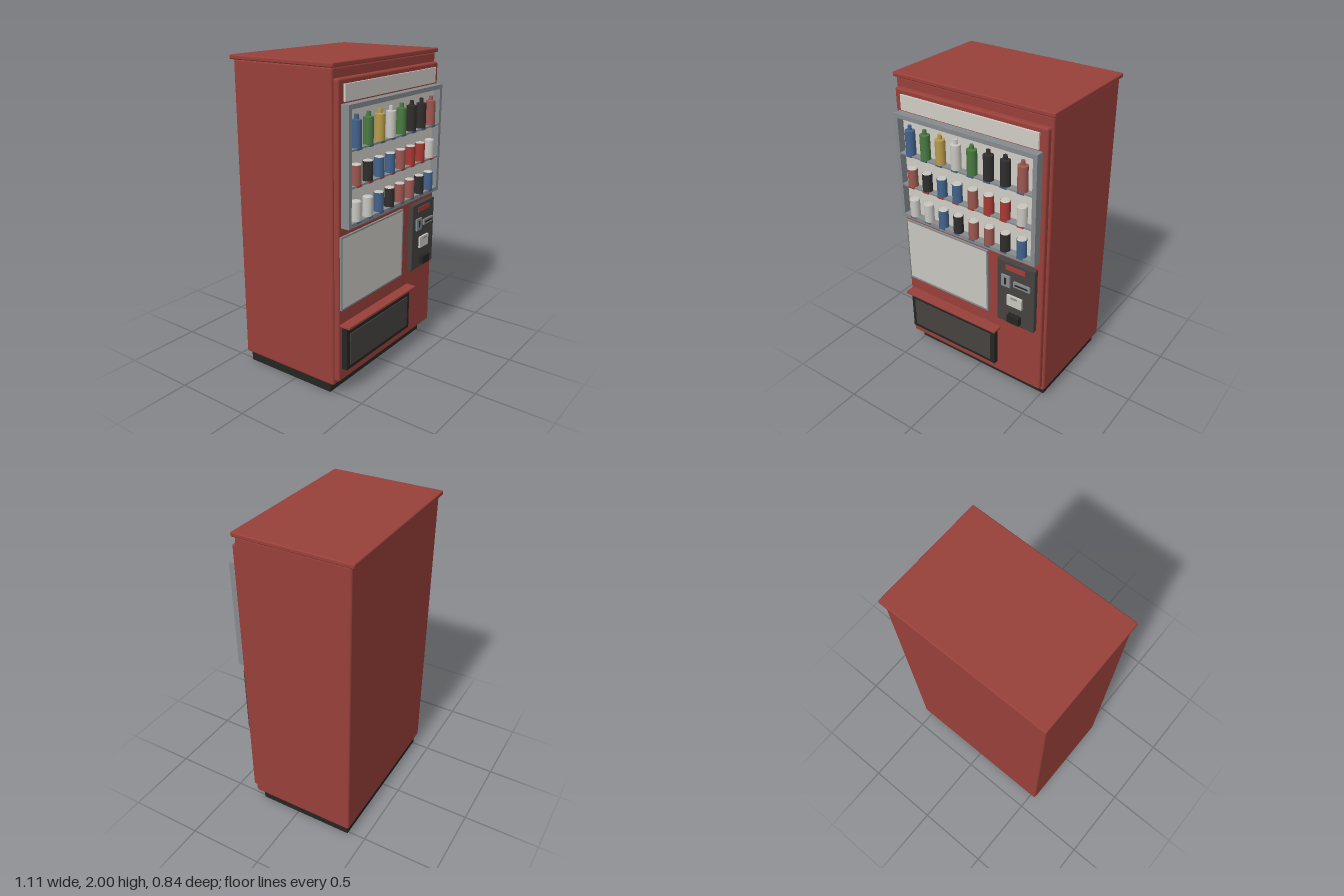
import * as THREE from 'three';
import { RoundedBoxGeometry } from 'three/addons/geometries/RoundedBoxGeometry.js';

const mats = {};
const mat = (color) => (mats[color] ??= new THREE.MeshStandardMaterial({ color }));
const RED = 0x98403a, DARK = 0x252422, CHARCOAL = 0x45423f, STEEL = 0x868b8e, PALE = 0xd0cdc6;
const BLUE = 0x44638c, GREEN = 0x4a7a42, GOLD = 0xb89a48, BLACK = 0x302e2d, RUST = 0x9c5850, SCARLET = 0xa83a34, WHITE = 0xc8c6c0;

export function createModel() {
  const model = new THREE.Group();

  const add = (parent, name, geometry, color, x = 0, y = 0, z = 0) => {
    const mesh = new THREE.Mesh(geometry, mat(color));
    mesh.name = name;
    mesh.position.set(x, y, z);
    parent.add(mesh);
    return mesh;
  };
  // Box given by its limits, with optional rounded edges
  const box = (parent, name, color, [x0, x1], [y0, y1], [z0, z1], r = 0) => {
    const size = [x1 - x0, y1 - y0, z1 - z0];
    const geometry = r ? new RoundedBoxGeometry(...size, 2, r) : new THREE.BoxGeometry(...size);
    return add(parent, name, geometry, color, (x0 + x1) / 2, (y0 + y1) / 2, (z0 + z1) / 2);
  };
  // Rectangular frame with an open middle
  const frame = (parent, name, color, [x0, x1], [y0, y1], [z0, z1], t) => {
    const rect = (Type, a, b, c, d) => new Type([[a, b], [c, b], [c, d], [a, d]].map((p) => new THREE.Vector2(...p)));
    const shape = rect(THREE.Shape, x0, y0, x1, y1);
    shape.holes.push(rect(THREE.Path, x0 + t, y0 + t, x1 - t, y1 - t));
    return add(parent, name, new THREE.ExtrudeGeometry(shape, { depth: z1 - z0, bevelEnabled: false }), color, 0, 0, z0);
  };
  const group = (name) => {
    const g = new THREE.Group();
    g.name = name;
    model.add(g);
    return g;
  };

  // Cabinet
  const cabinet = group('cabinet');
  box(cabinet, 'plinth', DARK, [-0.515, 0.515], [0, 0.08], [-0.38, 0.275]);
  box(cabinet, 'body', RED, [-0.543, 0.543], [0.07, 1.975], [-0.4, 0.32], 0.014);
  box(cabinet, 'roof', RED, [-0.555, 0.555], [1.972, 2], [-0.42, 0.335], 0.008);
  box(cabinet, 'door', RED, [-0.528, 0.528], [0.1, 1.915], [0.3, 0.352], 0.012);
  box(cabinet, 'signPanel', PALE, [-0.48, 0.48], [1.79, 1.885], [0.34, 0.365]);

  // Display window
  const display = group('display');
  box(display, 'displayBack', PALE, [-0.48, 0.48], [1.09, 1.77], [0.34, 0.357]);
  frame(display, 'displayFrame', STEEL, [-0.503, 0.5], [1.08, 1.78], [0.345, 0.405], 0.027);

  // Shelves with bottles on the top row and cans below
  const rows = [
    { y: 1.52, h: 0.155, bottle: true, button: BLUE, colors: [BLUE, GREEN, GOLD, WHITE, GREEN, BLACK, BLACK, RUST] },
    { y: 1.308, h: 0.115, button: SCARLET, colors: [RUST, BLACK, BLUE, BLUE, RUST, SCARLET, SCARLET, WHITE] },
    { y: 1.095, h: 0.115, button: BLUE, colors: [WHITE, WHITE, BLUE, BLACK, RUST, RUST, BLACK, BLUE] },
  ];
  const profile = (points) => new THREE.LatheGeometry(points.map((p) => new THREE.Vector2(...p)), 16);
  for (const { y, h, bottle, button, colors } of rows) {
    box(display, 'shelf', STEEL, [-0.476, 0.473], [y, y + 0.011], [0.35, 0.402]);
    const body = profile([[0, 0], [0.031, 0], [0.031, 0], [0.031, h], [0.031, h], [0, h + (bottle ? 0.006 : 0)]]);
    colors.forEach((color, i) => {
      const x = -0.405 + i * 0.1147;
      add(display, bottle ? 'bottle' : 'can', body, color, x, y + 0.012, 0.383);
      if (bottle) {
        add(display, 'bottleCap', new THREE.CylinderGeometry(0.012, 0.014, 0.03, 12), color, x, y + h + 0.027, 0.383);
      } else {
        add(display, 'canLid', new THREE.CylinderGeometry(0.026, 0.03, 0.005, 16), WHITE, x, y + h + 0.0135, 0.383);
      }
      box(display, 'selectButton', button, [x - 0.022, x + 0.022], [y - 0.001, y + 0.01], [0.39, 0.408]);
    });
  }

  // Poster panel
  const poster = group('poster');
  box(poster, 'posterSheet', WHITE, [-0.51, 0.13], [0.58, 1.025], [0.34, 0.36]);
  frame(poster, 'posterFrame', STEEL, [-0.517, 0.138], [0.575, 1.03], [0.345, 0.365], 0.01);

  // Payment panel
  const payment = group('payment');
  box(payment, 'paymentPanel', CHARCOAL, [0.223, 0.492], [0.575, 1.03], [0.34, 0.384], 0.006);
  box(payment, 'priceDisplay', SCARLET, [0.288, 0.428], [0.973, 1.005], [0.375, 0.389]);
  box(payment, 'coinPlate', STEEL, [0.26, 0.322], [0.85, 0.93], [0.375, 0.395]);
  box(payment, 'coinSlot', DARK, [0.286, 0.296], [0.868, 0.915], [0.38, 0.398]);
  box(payment, 'billPlate', STEEL, [0.348, 0.464], [0.87, 0.908], [0.375, 0.395]);
  box(payment, 'billSlot', DARK, [0.362, 0.452], [0.884, 0.894], [0.38, 0.398]);
  box(payment, 'returnPlate', WHITE, [0.304, 0.41], [0.72, 0.796], [0.375, 0.397]);
  box(payment, 'returnLever', STEEL, [0.336, 0.376], [0.78, 0.79], [0.38, 0.403]);
  box(payment, 'changeCup', DARK, [0.315, 0.402], [0.605, 0.66], [0.375, 0.415]);

  // Collection hatch
  const hatch = group('hatch');
  box(hatch, 'hatchSurround', DARK, [-0.495, 0.202], [0.18, 0.468], [0.34, 0.387]);
  box(hatch, 'hatchFlap', CHARCOAL, [-0.465, 0.17], [0.207, 0.415], [0.37, 0.393]);
  box(hatch, 'hatchCanopy', RED, [-0.515, 0.226], [0.465, 0.482], [0.34, 0.42], 0.004);

  return model;
}
